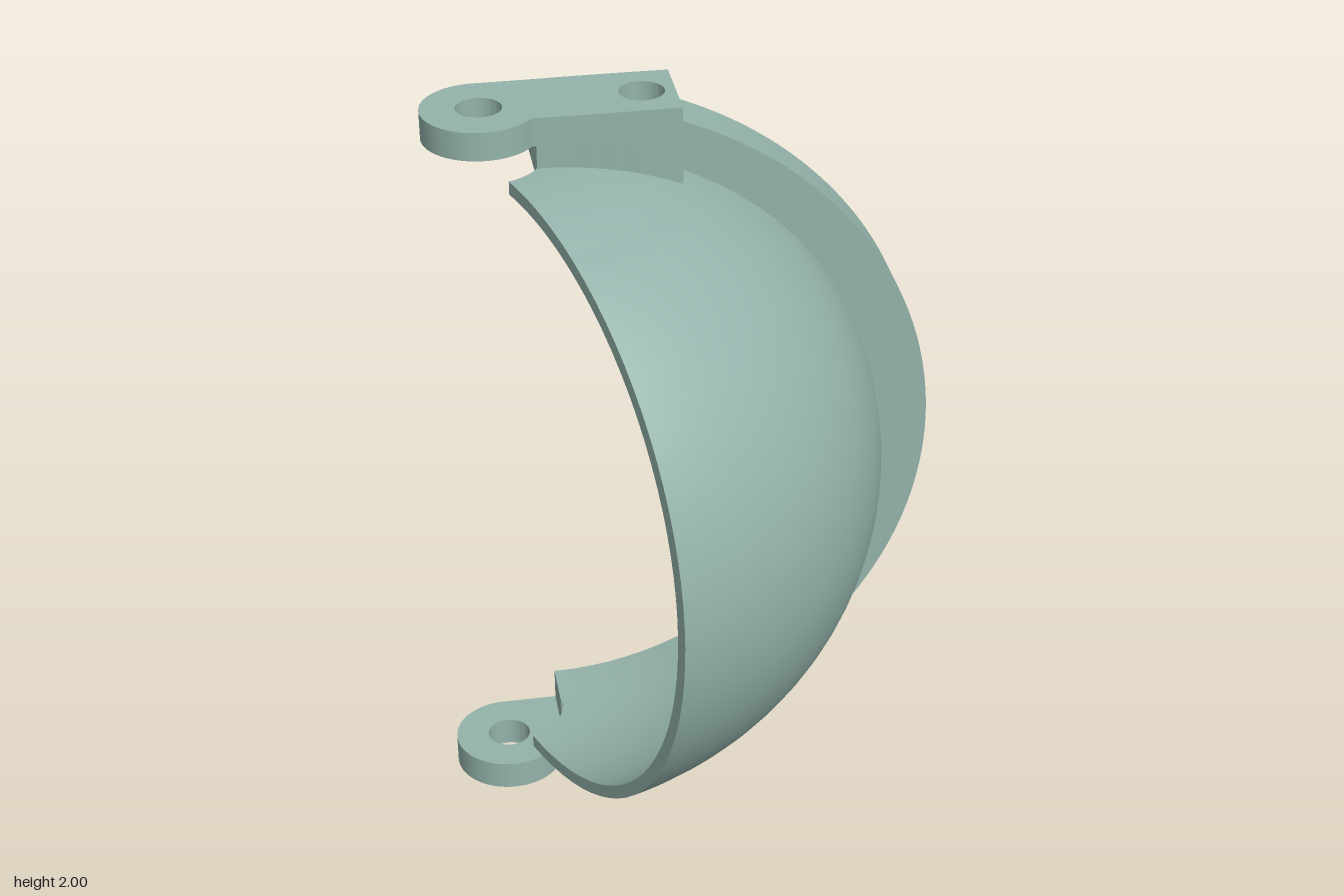
import * as THREE from 'three';
import { toCreasedNormals } from 'three/addons/utils/BufferGeometryUtils.js';

// Hinge axis and main dimensions; the dome is an arc revolved about the hinge axis
const HX = -0.515, HZ = -0.405, BACK = -0.552, CLEAR = 0.155;
const R_OUT = 0.865, R_IN = 0.83, EAR_R = 0.147, HOLE_R = 0.058;
const BLOCK_L = -0.385, BLOCK_R = -0.02, BLOCK_FRONT = -0.32;

function hole(shape, x, z) {
  shape.holes.push(new THREE.Path().absarc(x, -z, HOLE_R, 0, Math.PI * 2, true));
}

// Extrudes a plan shape (x, -z) upward from y0 to y1
function slab(shape, y0, y1) {
  const g = new THREE.ExtrudeGeometry(shape, { depth: y1 - y0, bevelEnabled: false, curveSegments: 32 });
  return g.rotateX(-Math.PI / 2).translate(0, y0, 0);
}

// Round hinge ear with a bar running to xEnd
function earGeometry(xEnd, front, y0, y1) {
  const s = new THREE.Shape();
  s.moveTo(xEnd, -BACK);
  s.lineTo(HX, -BACK);
  s.absarc(HX, -HZ, EAR_R, Math.PI / 2, Math.PI * 2 - Math.asin((front - HZ) / EAR_R), false);
  s.lineTo(xEnd, -front);
  s.closePath();
  hole(s, HX, HZ);
  return toCreasedNormals(slab(s, y0, y1), 0.5);
}

// Mounting block, its underside shaped to the inside of the dome
function blockGeometry() {
  const pts = [], n = 12;
  for (const [from, to, z, bow] of [[BLOCK_L, BLOCK_R, BLOCK_FRONT, 0.002], [BLOCK_R, BLOCK_L, BACK, -0.002]]) {
    for (let i = 0; i <= n; i++) {
      const t = i / n;
      pts.push(new THREE.Vector2(from + (to - from) * t, -(z + bow * Math.sin(Math.PI * t))));
    }
  }
  const s = new THREE.Shape(pts);
  hole(s, -0.105, -0.435);
  const g = slab(s, 1.7, 2);
  const p = g.attributes.position;
  for (let i = 0; i < p.count; i++) {
    if (p.getY(i) > 1.8) continue;
    const r = Math.hypot(p.getX(i) - HX, Math.max(0, p.getZ(i) - HZ));
    p.setY(i, 1 + Math.sqrt(R_IN ** 2 - (r - CLEAR) ** 2));
  }
  return toCreasedNormals(g, 0.5);
}

// Curved dome shell, closed between its outer and inner faces
function domeGeometry() {
  const n = 32, m = 2 * (n + 1), end = THREE.MathUtils.degToRad(70);
  const blockReach = BLOCK_R - HX;
  const split = Math.acos((blockReach - CLEAR) / R_OUT);
  const rows = [];
  for (let i = 0; i <= 10; i++) rows.push([Math.PI / 2 + (split - Math.PI / 2) * i / 10, true]);
  for (let i = 0; i <= 40; i++) rows.push([split - (split + Math.PI / 2) * i / 40, false]);
  const pos = [], idx = [];
  for (const [a, besideBlock] of rows) {
    for (let k = 0; k < m; k++) {
      const outer = k <= n, j = outer ? k : m - 1 - k, R = outer ? R_OUT : R_IN;
      const r = CLEAR + R * Math.cos(a);
      const start = besideBlock ? Math.asin(Math.min(1, (BLOCK_FRONT - HZ) / r)) : 0;
      const f = start + (end - start) * j / n;
      pos.push(HX + r * Math.cos(f), 1 + R * Math.sin(a), HZ + r * Math.sin(f));
    }
  }
  for (let i = 0; i < rows.length - 1; i++) {
    for (let k = 0; k < m; k++) {
      const a = i * m + k, b = i * m + (k + 1) % m;
      idx.push(a, b, a + m, b, b + m, a + m);
    }
  }
  const last = (rows.length - 1) * m;
  for (let j = 0; j < n; j++) {
    const a = j, b = j + 1, c = m - 1 - j, d = m - 2 - j;
    idx.push(b, a, c, b, c, d);
    idx.push(last + a, last + b, last + c, last + b, last + d, last + c);
  }
  const g = new THREE.BufferGeometry();
  g.setAttribute('position', new THREE.Float32BufferAttribute(pos, 3));
  g.setIndex(idx);
  return toCreasedNormals(g, 0.6);
}

// Flat crescent flange around the back of the dome
function flangeGeometry() {
  const cx = -0.42, a = 1.075, left = -0.365, ix = HX + CLEAR;
  const s = new THREE.Shape();
  s.absellipse(cx, 1, a, 1, -Math.acos((left - cx) / a), Math.acos((BLOCK_R - cx) / a), false, 0);
  s.absarc(ix, 1, R_IN, Math.acos((BLOCK_R - ix) / R_IN), -Math.PI / 2, true);
  s.lineTo(left, 1 - R_IN);
  s.closePath();
  const g = new THREE.ExtrudeGeometry(s, { depth: HZ - BACK, bevelEnabled: false, curveSegments: 56 });
  return toCreasedNormals(g.translate(0, 0, BACK), 0.5);
}

export function createModel() {
  const group = new THREE.Group();
  group.name = 'domeCover';
  const material = new THREE.MeshStandardMaterial({ color: 0x94b3ab });
  material.name = 'sageGreen';
  const add = (name, geometry) => {
    const mesh = new THREE.Mesh(geometry, material);
    mesh.name = name;
    group.add(mesh);
  };
  add('domeShell', domeGeometry());
  add('flange', flangeGeometry());
  add('mountingBlock', blockGeometry());
  add('topHingeEar', earGeometry(BLOCK_L, BLOCK_FRONT, 1.925, 2));
  add('bottomHingeEar', earGeometry(-0.36, HZ, 0, 0.08));
  return group;
}
